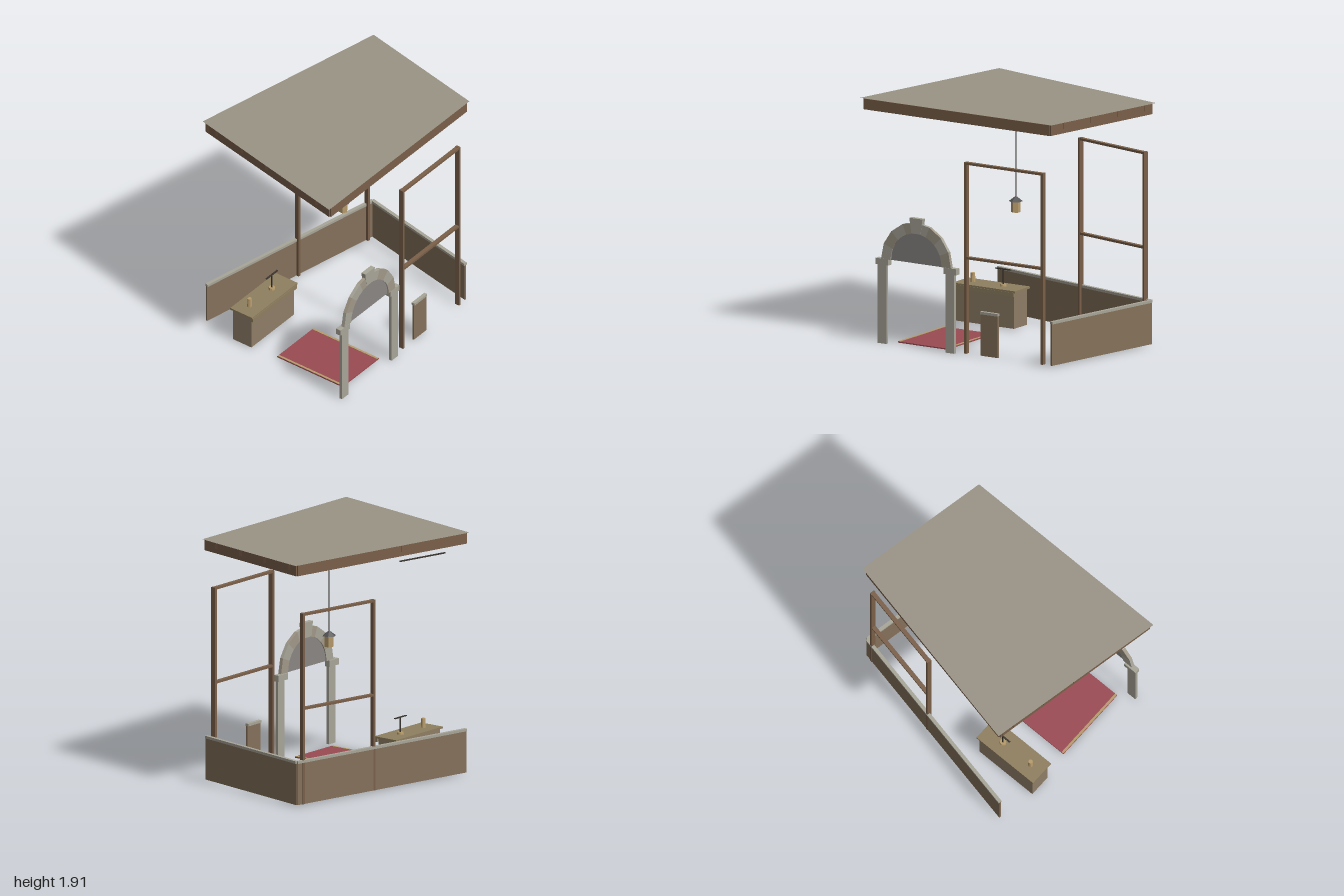
import * as THREE from 'three';

const mat = (color) => new THREE.MeshStandardMaterial({ color, flatShading: true, side: THREE.DoubleSide });
const WOOD = mat(0x7a6049), WALL = mat(0x84715a), ROOF = mat(0x9a9486), STONE = mat(0xa8a598),
  STONE2 = mat(0xa09888), SLAB = mat(0x8a8683), DARK = mat(0x3a352f), BRASS = mat(0xb89c6c),
  COUNTER = mat(0x8f7d67), TOP = mat(0x8f7f60), RUG = mat(0x9a4a52), LAMPTOP = mat(0x555555);

export function createModel() {
  const model = new THREE.Group();

  function add(name, geo, material, parent = model) {
    const m = new THREE.Mesh(geo, material);
    m.name = name;
    parent.add(m);
    return m;
  }
  // box from min/max extents
  function box(name, x0, x1, y0, y1, z0, z1, material, parent) {
    const m = add(name, new THREE.BoxGeometry(x1 - x0, y1 - y0, z1 - z0), material, parent);
    m.position.set((x0 + x1) / 2, (y0 + y1) / 2, (z0 + z1) / 2);
    return m;
  }
  // upright board running between two plan points [x, z]
  function board(name, a, b, y0, y1, w, material, parent) {
    const dx = b[0] - a[0], dz = b[1] - a[1];
    const m = add(name, new THREE.BoxGeometry(Math.hypot(dx, dz), y1 - y0, w), material, parent);
    m.position.set((a[0] + b[0]) / 2, (y0 + y1) / 2, (a[1] + b[1]) / 2);
    m.rotation.y = Math.atan2(-dz, dx);
    return m;
  }
  function rod(name, r0, r1, y0, y1, x, z, sides, material, parent) {
    const m = add(name, new THREE.CylinderGeometry(r0, r1, y1 - y0, sides), material, parent);
    m.position.set(x, (y0 + y1) / 2, z);
    return m;
  }
  function group(name) {
    const g = new THREE.Group();
    g.name = name;
    model.add(g);
    return g;
  }

  // roof sheet
  const roof = group('roof');
  const outline = [[-0.375, -1], [0.73, -0.77], [0.73, 0.995], [-0.735, 0.685]];
  const sheet = new THREE.Shape(outline.map(([x, z]) => new THREE.Vector2(x, -z)));
  add('roofSheet', new THREE.ShapeGeometry(sheet).rotateX(-Math.PI / 2).translate(0, 1.907, 0), ROOF, roof);

  // fascia, cross beams and joists
  const rim = [[-0.362, -0.968], [0.715, -0.747], [0.715, 0.965], [-0.708, 0.672]];
  rim.forEach((p, i) => board('fascia', p, rim[(i + 1) % 4], 1.82, 1.904, 0.02, WOOD, roof));
  const leftX = (z) => -0.362 - (z + 0.968) * 0.211;
  for (const z of [0.655, 0, -0.655]) box('crossBeam', leftX(z) + 0.01, 0.722, 1.822, 1.902, z - 0.035, z + 0.035, WOOD, roof);
  for (const x of [-0.575, -0.287, 0, 0.287, 0.575]) {
    const back = x < -0.362 ? -0.968 + (-0.362 - x) / 0.211 : -0.968 + (x + 0.362) * 0.205;
    const front = 0.672 + (x + 0.708) * 0.206;
    box('joist', x - 0.017, x + 0.017, 1.856, 1.903, back - 0.012, front + 0.012, WOOD, roof);
  }

  // low walls with caps
  const walls = group('lowWalls');
  const corner = [-0.36, -0.965];
  const runs = [[[-0.705, 0.675], corner], [corner, [0.705, -0.752]], [[0.7, -0.1], [0.7, -0.26]]];
  for (const [a, b] of runs) {
    board('wallPanel', a, b, 0.01, 0.337, 0.015, WALL, walls);
    board('wallCap', a, b, 0.337, 0.357, 0.028, STONE, walls);
  }

  // window frames: two posts and two rails each
  function windowFrame(name, a, b) {
    const g = group(name);
    const len = Math.hypot(b[0] - a[0], b[1] - a[1]);
    const ux = (b[0] - a[0]) / len, uz = (b[1] - a[1]) / len, h = 0.01;
    for (const [x, z] of [a, b])
      board('framePost', [x - ux * h, z - uz * h], [x + ux * h, z + uz * h], 0.01, 1.515, 0.04, WOOD, g);
    for (const y of [0.762, 1.505]) board('frameRail', a, b, y - 0.009, y + 0.009, 0.034, WOOD, g);
  }
  windowFrame('rightWindowFrame', [0.695, 0.035], [0.695, -0.67]);
  windowFrame('leftWindowFrame', [-0.508, -0.217], [-0.365, -0.905]);

  // stone archway
  const arch = group('archway');
  const CZ = 0.48, CY = 0.665;
  for (const s of [-1, 1]) {
    const z = CZ + s * 0.313;
    box('archPier', 0.705, 0.729, 0, 0.62, z - 0.04, z + 0.04, STONE, arch);
    box('archCapital', 0.685, 0.73, 0.618, 0.667, z - 0.058, z + 0.058, STONE, arch);
  }
  function slab(name, points, x0, x1, material) {
    const shape = new THREE.Shape(points.map(([u, v]) => new THREE.Vector2(u, v)));
    const geo = new THREE.ExtrudeGeometry(shape, { depth: x1 - x0, bevelEnabled: false });
    geo.rotateY(Math.PI / 2).translate(x0, CY, CZ);
    add(name, geo, material, arch);
  }
  const polar = (r, t) => [r * Math.cos(t), r * Math.sin(t)];
  const step = Math.PI / 8;
  for (let i = 0; i < 8; i++) {
    const t = i * step;
    slab('voussoir', [polar(0.235, t), polar(0.322, t), polar(0.322, t + step), polar(0.235, t + step), polar(0.235, t + step / 2)],
      0.7, 0.728, i % 2 ? STONE : STONE2);
  }
  slab('keystone', [[-0.043, 0.235], [0.043, 0.235], [0.06, 0.355], [-0.06, 0.355]], 0.692, 0.73, STONE);
  slab('tympanum', Array.from({ length: 17 }, (_, i) => polar(0.236, i * Math.PI / 16)), 0.709, 0.719, SLAB);

  // counter with a hollow body, top and lip
  const counter = group('counter');
  for (const x of [-0.4, -0.23]) box('counterSide', x, x + 0.01, 0.01, 0.296, 0.205, 0.74, COUNTER, counter);
  for (const z of [0.205, 0.73]) box('counterEnd', -0.39, -0.23, 0.01, 0.296, z, z + 0.01, COUNTER, counter);
  box('counterTop', -0.412, -0.2, 0.296, 0.311, 0.185, 0.757, TOP, counter);
  box('counterLip', -0.215, -0.197, 0.265, 0.298, 0.195, 0.75, TOP, counter);

  // cup and T-handled stand on the counter
  rod('cup', 0.017, 0.02, 0.311, 0.383, -0.31, 0.645, 10, BRASS, counter);
  rod('standBase', 0.024, 0.027, 0.311, 0.328, -0.31, 0.365, 10, BRASS, counter);
  rod('standPost', 0.006, 0.006, 0.325, 0.445, -0.31, 0.365, 8, DARK, counter);
  box('standBar', -0.316, -0.304, 0.441, 0.449, 0.295, 0.435, DARK, counter);

  // rug with end borders
  const rug = group('rug');
  box('rugBody', 0.005, 0.638, 0, 0.009, 0.25, 0.707, RUG, rug);
  for (const z of [0.252, 0.687]) box('rugBorder', 0.007, 0.636, 0.008, 0.012, z, z + 0.018, BRASS, rug);

  // hanging lantern
  const lamp = group('lantern');
  const LX = 0.087, LZ = -0.015;
  rod('lampCord', 0.004, 0.004, 1.13, 1.83, LX, LZ, 6, DARK, lamp);
  rod('lampHood', 0.004, 0.055, 1.1, 1.14, LX, LZ, 6, LAMPTOP, lamp).rotation.y = Math.PI / 6;
  rod('lampBody', 0.037, 0.037, 1.015, 1.1, LX, LZ, 6, BRASS, lamp).rotation.y = Math.PI / 6;

  // hanging rail under the roof
  board('hangingRail', [-0.648, 0.49], [-0.552, 0.055], 1.766, 1.776, 0.01, DARK);

  return model;
}
